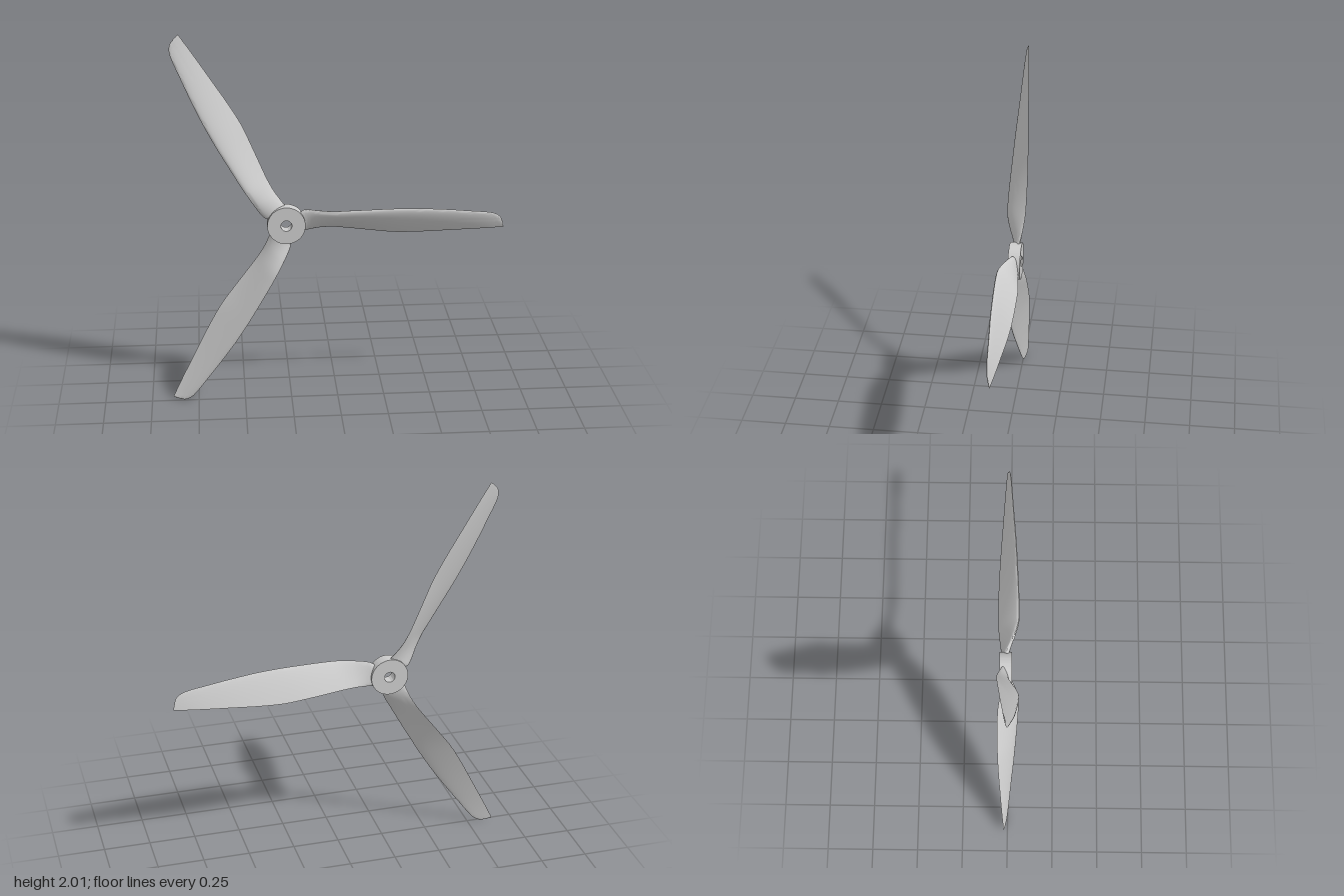
import * as THREE from 'three';
import { toCreasedNormals } from 'three/addons/utils/BufferGeometryUtils.js';

const material = new THREE.MeshStandardMaterial({ color: 0xcccccc });

// Blade stations: radius, leading edge y z, trailing edge y z, thickness, roundness of section
const STATIONS = [
  [0.07, 0.062, -0.010, -0.045, -0.025, 0.036, 0.9],
  [0.09, 0.078, -0.008, -0.044, -0.031, 0.036, 0.8],
  [0.12, 0.083, 0.005, -0.040, -0.040, 0.034, 0.6],
  [0.18, 0.084, 0.030, -0.034, -0.050, 0.032, 0.3],
  [0.25, 0.085, 0.048, -0.036, -0.057, 0.030, 0.1],
  [0.33, 0.087, 0.049, -0.045, -0.059, 0.028, 0],
  [0.45, 0.088, 0.044, -0.060, -0.059, 0.026, 0],
  [0.57, 0.088, 0.037, -0.073, -0.056, 0.024, 0],
  [0.70, 0.083, 0.029, -0.073, -0.050, 0.021, 0],
  [0.85, 0.070, 0.017, -0.066, -0.041, 0.017, 0],
  [0.97, 0.056, 0.008, -0.060, -0.034, 0.013, 0],
  [1.06, 0.045, 0.001, -0.055, -0.028, 0.010, 0],
  [1.10, 0.035, -0.003, -0.052, -0.025, 0.008, 0],
  [1.13, 0.014, -0.008, -0.050, -0.023, 0.006, 0],
  [1.142, -0.012, -0.014, -0.049, -0.022, 0.004, 0],
  [1.15, -0.045, -0.021, -0.048, -0.022, 0.001, 0],
];

// Loft airfoil sections along +x, convex on the front and nearly flat on the back
function bladeGeometry() {
  const ROWS = 75, RING = 28;
  const curve = (f) => new THREE.CatmullRomCurve3(STATIONS.map(f));
  const leading = curve((s) => new THREE.Vector3(s[0], s[1], s[2]));
  const trailing = curve((s) => new THREE.Vector3(s[0], s[3], s[4]));
  const section = curve((s) => new THREE.Vector3(s[0], s[5], s[6]));
  const pos = [], index = [];

  for (let i = 0; i <= ROWS; i++) {
    const le = leading.getPoint(i / ROWS);
    const te = trailing.getPoint(i / ROWS);
    const { y: thick, z: round } = section.getPoint(i / ROWS);
    const chord = te.clone().sub(le);
    const normal = new THREE.Vector3(0, chord.z, -chord.y).normalize();
    for (let j = 0; j < RING; j++) {
      const a = (j / RING) * Math.PI * 2;
      const s = (1 - Math.cos(a)) / 2;
      const foil = 2.6 * Math.sqrt(s) * (1 - s);
      const h = THREE.MathUtils.lerp(foil, Math.abs(Math.sin(a)), round);
      const share = THREE.MathUtils.lerp(a < Math.PI ? 0.78 : -0.22, a < Math.PI ? 0.5 : -0.5, round);
      const p = le.clone().addScaledVector(chord, s).addScaledVector(normal, h * share * thick);
      pos.push(p.x, p.y, p.z);
    }
  }
  for (let i = 0; i < ROWS; i++) {
    for (let j = 0; j < RING; j++) {
      const k = (j + 1) % RING;
      const a = i * RING + j, b = i * RING + k;
      index.push(a, b, a + RING, b, b + RING, a + RING);
    }
  }
  // End caps at root and tip
  const last = ROWS * RING;
  for (let j = 1; j < RING - 1; j++) {
    index.push(0, j + 1, j, last, last + j, last + j + 1);
  }
  const geometry = new THREE.BufferGeometry();
  geometry.setAttribute('position', new THREE.Float32BufferAttribute(pos, 3));
  geometry.setIndex(index);
  return toCreasedNormals(geometry, 0.9);
}

// Round hub disc with a shaft hole
function hubGeometry() {
  const shape = new THREE.Shape().absarc(0, 0, 0.1, 0, Math.PI * 2);
  shape.holes.push(new THREE.Path().absarc(0, 0, 0.029, 0, Math.PI * 2, true));
  const geometry = new THREE.ExtrudeGeometry(shape, { depth: 0.065, bevelEnabled: false, curveSegments: 48 });
  geometry.translate(0, 0, -0.048);
  return toCreasedNormals(geometry, 0.6);
}

export function createModel() {
  const propeller = new THREE.Group();
  propeller.name = 'propeller';

  const hub = new THREE.Mesh(hubGeometry(), material);
  hub.name = 'hub';
  propeller.add(hub);

  // Three equal blades around the hub
  const geometry = bladeGeometry();
  for (let i = 0; i < 3; i++) {
    const blade = new THREE.Mesh(geometry, material);
    blade.name = `blade${i + 1}`;
    blade.rotation.z = (i * Math.PI * 2) / 3;
    propeller.add(blade);
  }

  propeller.position.set(-0.27, 0.981, 0);
  const model = new THREE.Group();
  model.add(propeller);
  return model;
}
